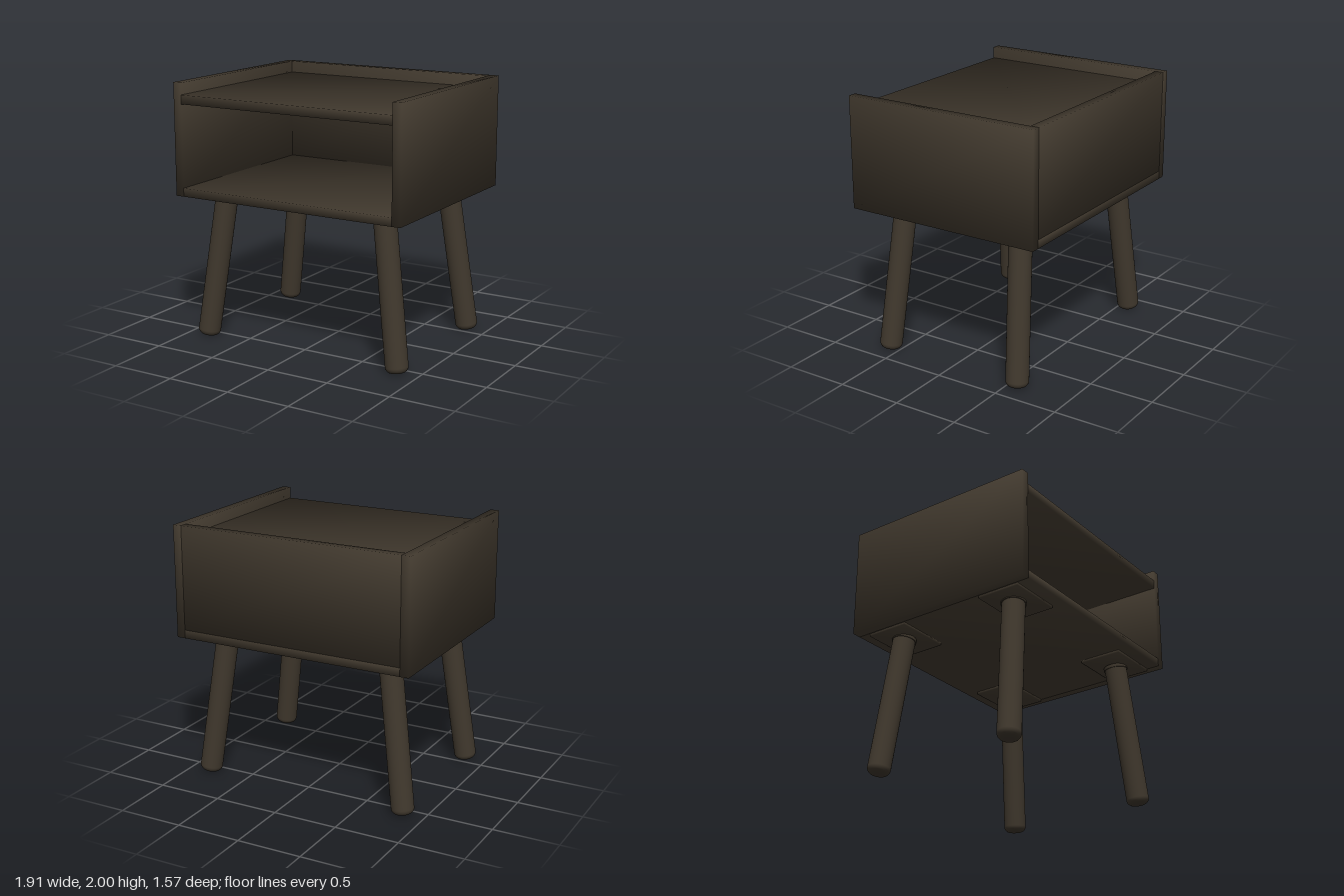
import * as THREE from 'three';

const wood = new THREE.MeshStandardMaterial({ color: 0x40382d });
wood.name = 'darkWood';

// Board between two corners, shaded softly: each corner shares one averaged normal
function board(name, [x0, y0, z0], [x1, y1, z1]) {
  const geo = new THREE.BoxGeometry(x1 - x0, y1 - y0, z1 - z0);
  const pos = geo.attributes.position;
  const k = 1 / Math.sqrt(3);
  for (let i = 0; i < pos.count; i++) {
    geo.attributes.normal.setXYZ(i, Math.sign(pos.getX(i)) * k, Math.sign(pos.getY(i)) * k, Math.sign(pos.getZ(i)) * k);
  }
  const mesh = new THREE.Mesh(geo, wood);
  mesh.name = name;
  mesh.position.set((x0 + x1) / 2, (y0 + y1) / 2, (z0 + z1) / 2);
  return mesh;
}

// Splayed round leg with a rounded foot, a collar and a mounting plate
function leg(name, sx, sz) {
  const group = new THREE.Group();
  group.name = name;
  const foot = new THREE.Vector3(sx * 0.835, 0.008, sz * 0.58);
  const top = new THREE.Vector3(sx * 0.685, 1.125, sz * 0.51);
  const axis = top.clone().sub(foot);
  const length = axis.length();
  const r = 0.086, round = 0.045;

  const profile = [new THREE.Vector2(0, 0)];
  for (let i = 0; i <= 6; i++) {
    const a = (i / 6) * Math.PI / 2;
    profile.push(new THREE.Vector2(r - round + round * Math.sin(a), round - round * Math.cos(a)));
  }
  profile.push(new THREE.Vector2(r, length));

  const tilted = new THREE.Group();
  tilted.name = name + 'Post';
  tilted.position.copy(foot);
  tilted.quaternion.setFromUnitVectors(new THREE.Vector3(0, 1, 0), axis.normalize());
  const shaft = new THREE.Mesh(new THREE.LatheGeometry(profile, 32), wood);
  shaft.name = 'legShaft';
  const collar = new THREE.Mesh(new THREE.CylinderGeometry(0.093, 0.093, 0.025, 32), wood);
  collar.name = 'legCollar';
  collar.position.y = length - 0.0125;
  tilted.add(shaft, collar);

  const px = [sx * 0.45, sx * 0.882].sort((a, b) => a - b);
  const pz = [sz * 0.345, sz * 0.685].sort((a, b) => a - b);
  group.add(tilted, board('mountingPlate', [px[0], 1.12, pz[0]], [px[1], 1.142, pz[1]]));
  return group;
}

export function createModel() {
  const model = new THREE.Group();
  model.name = 'nightstand';

  // Open-fronted case
  model.add(
    board('leftSide', [0.888, 1.14, -0.785], [0.956, 2, 0.785]),
    board('rightSide', [-0.956, 1.14, -0.785], [-0.888, 2, 0.785]),
    board('bottomPanel', [-0.888, 1.14, -0.785], [0.888, 1.205, 0.785]),
    board('topShelf', [-0.888, 1.84, -0.718], [0.888, 1.91, 0.785]),
    board('backPanel', [-0.888, 1.205, -0.785], [0.888, 2, -0.718]),
  );

  // Four legs
  for (const sx of [1, -1]) {
    for (const sz of [1, -1]) {
      model.add(leg((sz > 0 ? 'front' : 'back') + (sx > 0 ? 'Left' : 'Right') + 'Leg', sx, sz));
    }
  }
  return model;
}
